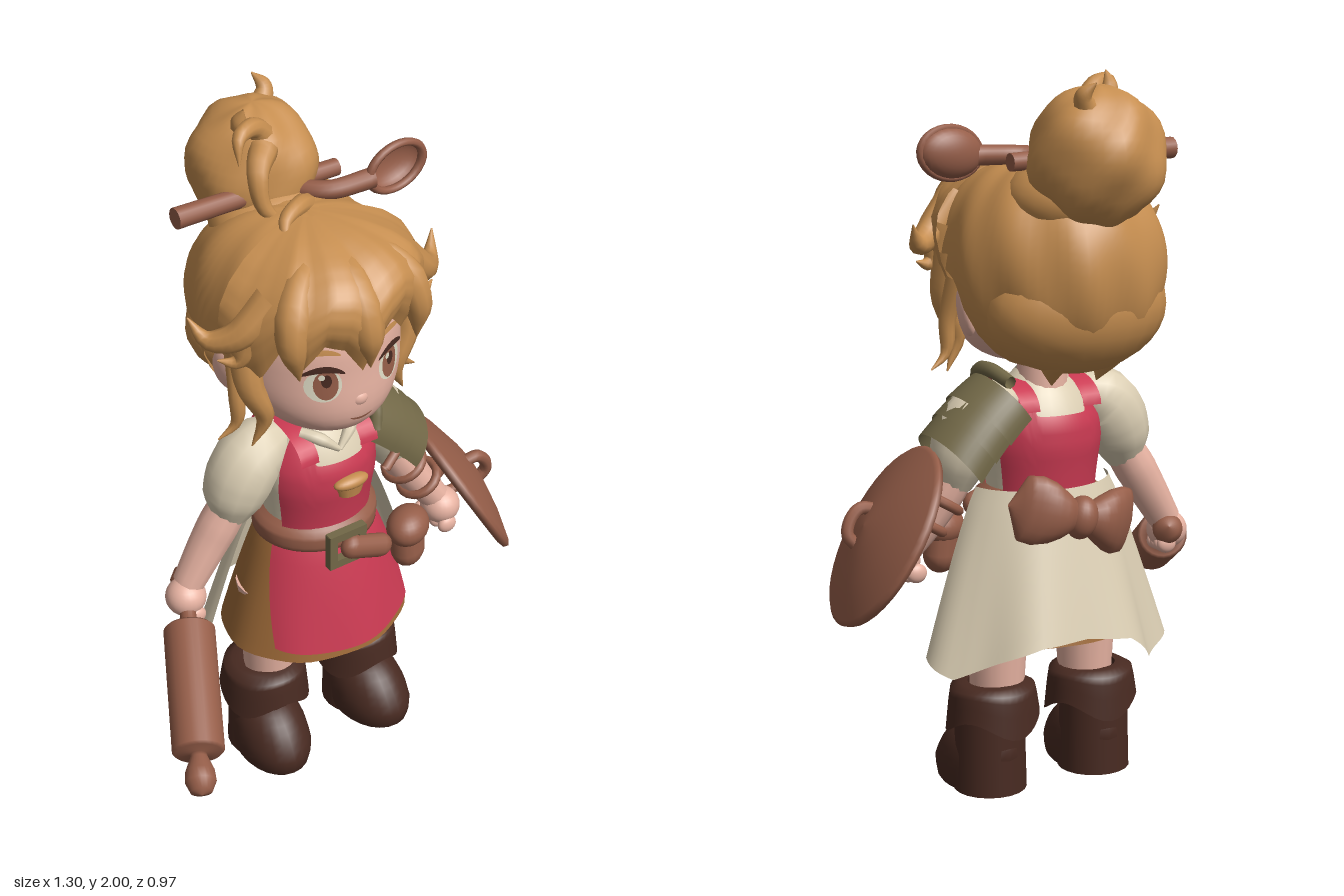
import * as THREE from 'three';
import { mergeVertices } from 'three/addons/utils/BufferGeometryUtils.js';

const paint = (name, color) => {
  const m = new THREE.MeshStandardMaterial({ color, side: THREE.DoubleSide });
  m.name = name;
  return m;
};
const V = (x, y, z) => new THREE.Vector3(x, y, z);
const { sin, cos, PI, abs, sqrt, max } = Math;
const lerp = THREE.MathUtils.lerp, smooth = THREE.MathUtils.smoothstep;

// Grid surface from a rule fn(u, v) -> [x, y, z]
function surface(fn, nu, nv) {
  const pos = [], idx = [];
  for (let j = 0; j <= nv; j++) for (let i = 0; i <= nu; i++) pos.push(...fn(i / nu, j / nv));
  for (let j = 0; j < nv; j++) for (let i = 0; i < nu; i++) {
    const a = j * (nu + 1) + i, b = a + nu + 1;
    idx.push(a, b, a + 1, b, b + 1, a + 1);
  }
  let g = new THREE.BufferGeometry();
  g.setAttribute('position', new THREE.Float32BufferAttribute(pos, 3));
  g.setIndex(idx);
  g = mergeVertices(g, 1e-4);
  g.computeVertexNormals();
  return g;
}
// Value along an evenly spaced list
function along(list, t) {
  const s = t * (list.length - 1), i = Math.min(Math.floor(s), list.length - 2);
  return lerp(list[i], list[i + 1], s - i);
}
// Tube with changing radius
function limb(points, radii, n = 14, sides = 12) {
  const c = new THREE.CatmullRomCurve3(points.map(p => V(...p)));
  const f = c.computeFrenetFrames(n);
  return surface((u, v) => {
    const k = Math.round(v * n), r = along(radii, v), a = u * PI * 2;
    return c.getPointAt(v).addScaledVector(f.normals[k], r * cos(a)).addScaledVector(f.binormals[k], r * sin(a)).toArray();
  }, sides, n);
}
function add(parent, name, geo, mat, pos = [0, 0, 0], scale = [1, 1, 1], rot = [0, 0, 0]) {
  const m = new THREE.Mesh(geo, mat);
  m.name = name;
  m.position.set(...pos); m.scale.set(...scale); m.rotation.set(...rot);
  parent.add(m);
  return m;
}
function addGroup(parent, name, pos, rot = [0, 0, 0]) {
  const g = new THREE.Group();
  g.name = name;
  g.position.set(...pos); g.rotation.set(...rot);
  parent.add(g);
  return g;
}

export function createModel() {
  const hair = paint('hair', 0xc68e50), skin = paint('skin', 0xeab5a4), red = paint('apronRed', 0xca3a52),
    cream = paint('cream', 0xdccfb4), wood = paint('woodAndLeather', 0x965e49), dark = paint('bootBrown', 0x482a21),
    olive = paint('olive', 0x726847), trim = paint('skirtBrown', 0x9e6a38), white = paint('eyeWhite', 0xe0dcc6);
  const root = new THREE.Group();
  root.name = 'model';
  const body = addGroup(root, 'body', [0.04, 0, 0]);
  const ball = new THREE.SphereGeometry(1, 24, 16);

  // Head: rounded jaw pushed forward
  const jaw = ny => (ny < 0 ? 0.11 * ny * ny : 0);
  const ring = ny => sqrt(max(0, 1 - abs(ny) ** 2.6));
  add(body, 'head', surface((u, v) => {
    const ny = -cos(v * PI), s = ring(ny), a = u * PI * 2;
    return [0.245 * s * sin(a), 1.43 + 0.24 * ny, -0.03 + 0.25 * s * cos(a) + jaw(ny)];
  }, 36, 24), skin);
  const faceZ = (x, y) => {
    const ny = (y - 1.43) / 0.24;
    return -0.03 + 0.25 * sqrt(max(0, ring(ny) ** 2 - (x / 0.245) ** 2)) + jaw(ny);
  };
  // Face details wrapped onto the head
  const patch = (name, mat, x, y, w, h, lift, bend = 0) => add(body, name, surface((u, v) => {
    const a = u * PI * 2, px = x + w * v * cos(a), py = y + h * v * sin(a) - bend * (v * cos(a)) ** 2;
    return [px, py, faceZ(px, py) + lift];
  }, 20, 4), mat);
  for (const s of [-1, 1]) {
    patch('eyeWhite', white, s * 0.104, 1.398, 0.046, 0.05, 0.003);
    patch('iris', wood, s * 0.1, 1.402, 0.031, 0.046, 0.006);
    patch('pupil', dark, s * 0.1, 1.415, 0.013, 0.02, 0.008);
    patch('eyeGlint', white, s * 0.1 - 0.012, 1.428, 0.008, 0.009, 0.009);
    patch('upperLash', dark, s * 0.106, 1.453, 0.054, 0.01, 0.009, 0.02);
    patch('eyebrow', hair, s * 0.105, 1.5, 0.045, 0.008, 0.004, 0.012);
    add(body, 'ear', ball, skin, [s * 0.245, 1.365, -0.04], [0.025, 0.07, 0.05], [0, s * -0.4, s * -0.15]);
  }
  patch('mouth', wood, 0, 1.272, 0.035, 0.004, 0.004, -0.008);
  add(body, 'nose', ball, skin, [0, 1.33, 0.205], [0.03, 0.026, 0.026]);
  add(body, 'neck', new THREE.CylinderGeometry(0.065, 0.075, 0.14, 16), skin, [0, 1.17, -0.02]);

  // Hair cap: short over the face, long at the nape
  add(body, 'hairCap', surface((u, v) => {
    const a = (u - 0.5) * PI * 2, t = abs(a);
    const end = 1.3 + 0.36 * smooth(t, 0.6, 1.25) + 1.04 * smooth(t, 1.52, 1.95) + 0.04 * sin(a * 9);
    const p = v * end, s = sin(p) ** (p > PI / 2 ? 0.65 : 0.8);
    const k = 1 + 0.022 * sin(6 * a + 2 * p) * sin(p) + 0.015 * sin(11 * a - 3 * p) * sin(p);
    return [0.293 * s * k * sin(a), 1.485 + 0.285 * k * cos(p), -0.07 + 0.325 * s * k * cos(a)];
  }, 72, 28), hair);
  add(body, 'napeHair', ball, hair, [0, 1.38, -0.2], [0.265, 0.18, 0.172]);
  // Fringe: one swept sheet with pointed tips, plus loose clumps
  const lock = (name, pts, r, parent = body) => add(parent, name, limb(pts, r, 14, 10), hair);
  const tips = [1.42, 1.38, 1.43, 1.53, 1.47, 1.54, 1.52, 1.44, 1.52, 1.55, 1.49, 1.53, 1.44, 1.38, 1.42];
  const sweep = [0.04, 0.15, 0.23, 0.285, 0.318, 0.328, 0.318, 0.29];
  add(body, 'fringe', surface((u, v) => {
    const a = lerp(-1.4, 1.4, u), low = along(tips, u);
    const r = along(sweep, v) * (1 + 0.35 * (1.5 - low) * sin(PI * v));
    return [0.93 * r * sin(a + 0.05 * sin(5 * v)), lerp(1.775, low, v ** 1.5), -0.045 + r * cos(a)];
  }, 56, 21), hair);
  for (const [x, y, r] of [[-0.19, 1.44, 0.05], [-0.01, 1.45, 0.055], [0.17, 1.45, 0.05]]) {
    const z = -0.02 + 0.29 * sqrt(1 - (x / 0.31) ** 2);
    lock('fringeClump', [[x * 0.3, 1.73, 0.08], [x * 0.8, 1.68, z * 0.7], [x * 1.05, 1.58, z - 0.015], [x + 0.015, y, z - 0.015]],
      [0.02, r * 0.8, r, r * 0.75, 0.002]);
  }
  // Side locks and flicks
  for (const s of [-1, 1]) {
    lock('sideLock', [[s * 0.25, 1.52, 0.04], [s * 0.25, 1.38, 0.07], [s * 0.21, 1.27, 0.08], [s * 0.245, 1.18, 0.07]], [0.045, 0.04, 0.03, 0.002]);
    lock('sideCurl', [[s * 0.25, 1.45, 0.0], [s * 0.265, 1.33, 0.03], [s * 0.27, 1.24, 0.03], [s * 0.32, 1.2, 0.02]], [0.03, 0.025, 0.02, 0.002]);
    lock('flick', [[s * 0.2, 1.65, 0.1], [s * 0.29, 1.56, 0.08], [s * 0.35, 1.54, 0.03], [s * 0.385, 1.6, -0.01]], [0.05, 0.045, 0.03, 0.002]);
    lock('cheekFlick', [[s * 0.25, 1.58, 0.08], [s * 0.29, 1.48, 0.08], [s * 0.34, 1.49, 0.06]], [0.05, 0.03, 0.002]);
    lock('napeLock', [[s * 0.07, 1.32, -0.26], [s * 0.08, 1.24, -0.22], [s * 0.07, 1.17, -0.19]], [0.07, 0.05, 0.002]);
  }
  // Bun with loose strands
  add(root, 'bun', surface((u, v) => {
    const a = u * PI * 2, p = v * PI, k = 1 + (0.04 * sin(5 * a + 4 * p) + 0.03 * sin(3 * a - 5 * p)) * sin(p);
    return [0.04 + 0.178 * k * sin(p) * sin(a), 1.785 + 0.185 * k * cos(p), -0.3 + 0.18 * k * sin(p) * cos(a)];
  }, 40, 20), hair);
  add(root, 'bunBase', ball, hair, [0.05, 1.67, -0.2], [0.19, 0.12, 0.16]);
  const strands = [
    [[0.03, 1.9, -0.22], [-0.02, 1.96, -0.2], [-0.08, 1.96, -0.17], [-0.1, 1.9, -0.14]],
    [[0.0, 1.9, -0.18], [-0.05, 1.87, -0.13], [-0.05, 1.78, -0.1], [0.02, 1.71, -0.07]],
    [[0.1, 1.72, -0.12], [0.03, 1.78, -0.06], [-0.04, 1.77, -0.02], [-0.06, 1.72, 0.03]],
    [[0.0, 1.9, -0.25], [-0.03, 1.95, -0.25], [-0.03, 2.0, -0.23]],
    [[0.1, 1.9, -0.36], [0.13, 1.95, -0.38], [0.11, 1.985, -0.41]]];
  for (const p of strands) lock('strand', p, [0.04, 0.028, 0.02, 0.002], root);

  // Hair stick and spoon
  add(root, 'hairStick', new THREE.CylinderGeometry(0.024, 0.029, 0.5, 14), wood, [-0.02, 1.775, -0.183], [1, 1, 1], [0, 0, -PI / 2 - 0.02]);
  add(root, 'spoonHandle', limb([[0.07, 1.77, -0.17], [0.14, 1.775, -0.09], [0.27, 1.78, -0.07]], [0.026, 0.026, 0.028]), wood);
  const spoon = addGroup(root, 'spoonBowl', [0.345, 1.79, -0.07], [0, 0.05, 0.12]);
  add(spoon, 'bowl', new THREE.SphereGeometry(1, 24, 8, 0, PI * 2, PI / 2, PI / 2).rotateX(PI / 2), wood, [0, 0, 0], [0.094, 0.068, 0.045]);
  add(spoon, 'rim', new THREE.TorusGeometry(0.088, 0.013, 8, 28), wood, [0, 0, 0], [1, 0.75, 1]);

  // Blouse and apron bib share one torso rule
  const girth = [0.15, 0.148, 0.155, 0.165, 0.16, 0.125, 0.065];
  const torso = (a, y, k = 1) => {
    const r = along(girth, (y - 0.78) / 0.4) * k;
    return [r * sin(a), y, r * 0.88 * cos(a)];
  };
  add(body, 'blouse', surface((u, v) => torso(u * PI * 2, 0.78 + 0.4 * v), 32, 14), cream);
  for (const [name, turn] of [['bib', 0], ['backPanel', PI]]) {
    add(body, name, surface((u, v) => {
      const d = (u - 0.5) * 2.25, top = 1.07 + 0.07 * smooth(abs(d), 0.45, 0.75);
      return torso(d + turn, lerp(0.78, top, v), 1.09);
    }, 28, 12), red);
  }
  for (const s of [-1, 1]) {
    add(body, 'shoulderStrap', surface((u, v) => [s * (0.068 + 0.057 * u), 1.085 + 0.075 * sin(PI * v), 0.128 * cos(PI * v)], 3, 16), red);
    add(body, 'collar', limb([[s * 0.085, 1.15, 0.06], [s * 0.05, 1.14, 0.1], [0, 1.1, 0.125]], [0.016, 0.018, 0.008], 8, 8), cream);
  }
  add(body, 'badge', new THREE.CylinderGeometry(0.045, 0.035, 0.035, 12), hair, [0.015, 0.98, 0.155], [1, 1, 0.6]);
  add(body, 'badgeTop', ball, hair, [0.015, 1.005, 0.16], [0.055, 0.02, 0.025]);

  // Skirt layers
  const skirt = (a, v, k, wx = 0.28, wz = 0.232) => {
    const e = v ** 0.8;
    return [lerp(0.155, wx, e) * k * sin(a), 0.81 - 0.365 * v, lerp(0.14, wz, e) * k * cos(a)];
  };
  add(body, 'underskirt', surface((u, v) => skirt(u * PI * 2, v, 1 + 0.01 * sin(u * PI * 16) * v), 48, 10), trim);
  add(body, 'apronSkirt', surface((u, v) => {
    const d = (u - 0.5) * 2;
    return skirt(d * lerp(1.3, 0.92, v), v * (0.93 - 0.06 * d * d), 1.055 + 0.012 * sin(u * 14) * v);
  }, 28, 10), red);
  // Back overskirt: short in the middle, long at the corners
  const hem = [0.41, 0.37, 0.42, 0.465, 0.47, 0.45, 0.36, 0.38, 0.4];
  add(body, 'backSkirt', surface((u, v) => {
    const a = lerp(1.65, 2 * PI - 1.65, u), wave = 1 + 0.04 * sin(u * 22) * v;
    return [lerp(0.205, 0.37, v ** 0.85) * wave * sin(a), lerp(0.87, along(hem, u), v), lerp(0.16, 0.275, v) * wave * cos(a)];
  }, 48, 12), cream);

  // Belt, buckle, pouches and bow
  add(body, 'belt', surface((u, v) => {
    const a = u * PI * 2, r = along([0.15, 0.18, 0.182, 0.18, 0.15], v);
    return [r * sin(a), lerp(0.765, 0.86, v), r * 0.92 * cos(a)];
  }, 36, 8), wood);
  for (const [w, h, x, y] of [[0.12, 0.025, 0, 0.045], [0.12, 0.025, 0, -0.045], [0.025, 0.11, 0.048, 0], [0.025, 0.11, -0.048, 0]])
    add(body, 'buckle', new THREE.BoxGeometry(w, h, 0.025), olive, [-0.01 + x, 0.8 + y, 0.177]);
  add(root, 'toolRoll', new THREE.CapsuleGeometry(0.036, 0.1, 6, 14), wood, [0.09, 0.78, 0.19], [1, 1, 0.8], [0, 0, 1.2]);
  const pouch = addGroup(root, 'pouch', [0.275, 0.685, 0.13], [-0.1, 0.6, 0.08]);
  add(pouch, 'pouchBody', new THREE.CapsuleGeometry(0.06, 0.06, 6, 14), wood, [0, 0, 0], [1.05, 1, 0.8]);
  add(pouch, 'pouchFlap', ball, wood, [0, 0.045, 0.005], [0.075, 0.055, 0.06]);
  const bow = addGroup(body, 'bow', [0, 0.805, -0.2], [0, 0, 0.24]);
  for (const s of [-1, 1]) {
    add(bow, 'bowLoop', surface((u, v) => {
      const a = u * PI * 2, h = along([0.04, 0.065, 0.085, 0.095, 0.09, 0.004], v), d = along([0.03, 0.048, 0.05, 0.045, 0.035, 0.004], v);
      return [s * (0.02 + 0.18 * v), h * cos(a), -0.025 + 0.05 * v * v + d * sin(a)];
    }, 20, 15), wood);
  }
  add(bow, 'bowKnot', ball, wood, [0, 0, -0.03], [0.045, 0.06, 0.048]);

  // Legs and boots
  for (const s of [-1, 1]) {
    add(body, 'leg', new THREE.CylinderGeometry(0.095, 0.076, 0.32, 18), skin, [s * 0.143, 0.45, -0.015]);
    const boot = addGroup(body, 'boot', [s * 0.17, 0, -0.02], [0, s * 0.08, 0]);
    add(boot, 'shaft', new THREE.CylinderGeometry(0.096, 0.103, 0.27, 20), dark, [0, 0.135, 0]);
    add(boot, 'foot', surface((u, v) => {
      const a = u * PI * 2, p = v * PI, s2 = sin(p) ** 0.65, up = max(0, cos(p));
      return [0.107 * s2 * sin(a), max(0, 0.06 + 0.13 * cos(p)), 0.06 - 0.05 * up + 0.15 * s2 * cos(a)];
    }, 24, 16), dark);
    add(boot, 'cuff', surface((u, v) => {
      const a = u * PI * 2, r = along([0.07, 0.118, 0.124, 0.128, 0.132], v);
      const low = 0.195 + 0.025 * cos(3 * a);
      return [r * sin(a) - s * 0.01, lerp(0.31, low, max(0, v - 0.15) / 0.85), r * cos(a)];
    }, 36, 8), dark);
  }

  // Arms
  add(root, 'rightSleeve', limb([[-0.05, 1.11, -0.02], [-0.15, 1.07, -0.02], [-0.2, 0.99, -0.02], [-0.23, 0.89, -0.02]], [0.05, 0.085, 0.098, 0.098, 0.085, 0.05]), cream);
  add(root, 'rightForearm', limb([[-0.21, 0.95, -0.02], [-0.28, 0.83, -0.03], [-0.36, 0.7, -0.03]], [0.055, 0.06, 0.054, 0.046]), skin);
  add(root, 'leftSleeve', limb([[0.13, 1.11, -0.02], [0.24, 1.06, -0.02], [0.29, 0.98, -0.02], [0.315, 0.88, -0.01]], [0.05, 0.085, 0.095, 0.095, 0.08, 0.05]), cream);
  add(root, 'leftForearm', limb([[0.29, 0.95, -0.02], [0.36, 0.82, 0.01], [0.44, 0.7, 0.04]], [0.055, 0.056, 0.05, 0.042]), skin);
  for (const [p, side] of [[[-0.375, 0.665, -0.02], 1], [[0.45, 0.675, 0.05], -1]]) {
    add(root, 'hand', ball, skin, p, [0.058, 0.055, 0.058]);
    for (let i = 0; i < 4; i++)
      add(root, 'finger', ball, skin, [p[0] + side * (0.03 - i * 0.008), p[1] - 0.03 - i * 0.004, p[2] - 0.045 + i * 0.03], [0.03, 0.027, 0.018]);
  }
  for (const [x, y, z] of [[0.35, 0.84, 0], [0.39, 0.78, 0.02]])
    add(root, 'armStrap', new THREE.TorusGeometry(0.058, 0.014, 8, 20), wood, [x, y, z], [1, 1, 1], [PI / 2, 0.55, 0]);

  // Shoulder armour: three overlapping plates bending down the arm
  for (let i = 0; i < 3; i++) {
    add(root, 'shoulderPlate', surface((u, v) => {
      const a = (u - 0.5) * 3.5, t = i * 0.055 + v * 0.09, r = lerp(0.97, 1.04, v) * (1 - i * 0.01);
      const up = 0.118 * r * cos(a);
      return [0.16 + 0.8 * t + 0.6 * up, 1.09 - 0.6 * t - 0.9 * t * t + 0.8 * up, -0.02 + 0.138 * r * sin(a)];
    }, 24, 5), olive);
  }
  add(root, 'plateFlange', limb([[0.17, 1.1, 0.11], [0.19, 1.17, 0.07], [0.2, 1.19, -0.02], [0.19, 1.17, -0.11]], [0.018, 0.022, 0.018], 14, 8), olive);
  add(root, 'plateStrap', limb([[0.2, 0.96, 0.12], [0.26, 1.0, 0.1], [0.31, 1.03, 0.08]], [0.014, 0.014], 8, 8), wood);

  // Pot-lid shield
  const shield = addGroup(root, 'shield', [0.508, 0.76, 0.035]);
  shield.quaternion.setFromUnitVectors(V(0, 1, 0), V(0.85, 0.515, 0.16).normalize());
  const lid = [[0, 0.025], [0.24, -0.025], [0.262, -0.02], [0.268, -0.005], [0.255, 0.005], [0.16, 0.035], [0.06, 0.055], [0, 0.06]];
  add(shield, 'lid', new THREE.LatheGeometry(lid.map(p => new THREE.Vector2(...p)), 40), wood);
  add(shield, 'lidHandle', limb([[-0.055, 0.04, 0.03], [-0.04, 0.078, 0.03], [0, 0.09, 0.03], [0.04, 0.078, 0.03], [0.055, 0.04, 0.03]], [0.018, 0.018], 16, 8), wood);
  add(shield, 'grip', limb([[-0.06, 0.01, 0], [-0.03, -0.06, 0], [0.05, -0.06, 0], [0.08, 0.01, 0]], [0.015, 0.015], 12, 8), wood);

  // Rolling pin
  const p0 = V(-0.33, 0.695, -0.1), p1 = V(-0.63, 0.44, 0.47), axis = p1.clone().sub(p0), len = axis.length();
  const pin = [[0, 0], [0.03, 0.01], [0.043, 0.04], [0.04, 0.07], [0.024, 0.11], [0.022, 0.19], [0.064, 0.192], [0.072, 0.2]];
  const profile = [...pin, ...pin.map(([r, y]) => [r, len - (y > 0.15 ? y - 0.07 : y)]).reverse()];
  const rollingPin = add(root, 'rollingPin', new THREE.LatheGeometry(profile.map(p => new THREE.Vector2(...p)), 24), wood, p0.toArray());
  rollingPin.quaternion.setFromUnitVectors(V(0, 1, 0), axis.normalize());
  return root;
}
